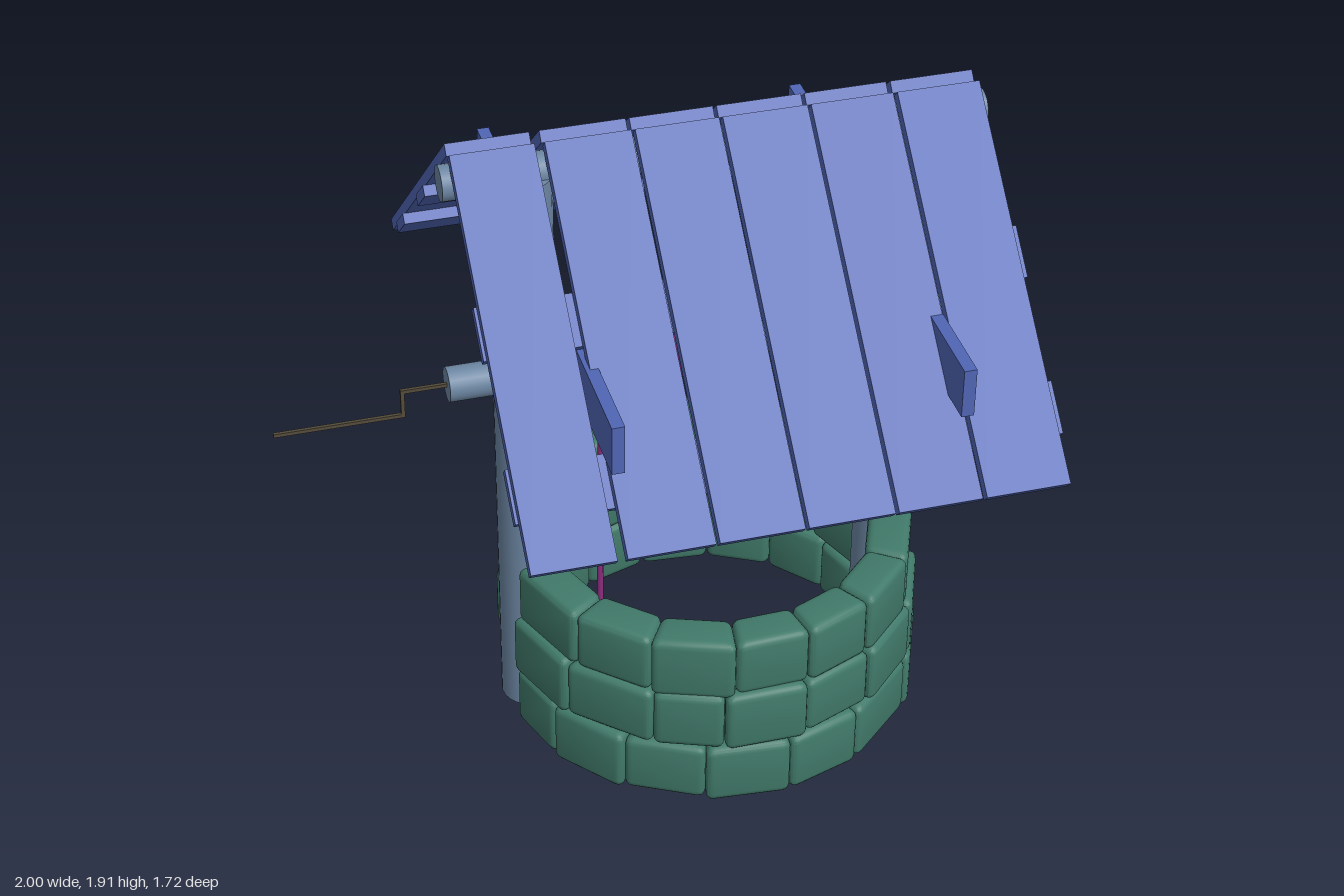
import * as THREE from 'three';
import { toCreasedNormals } from 'three/addons/utils/BufferGeometryUtils.js';
import { RoundedBoxGeometry } from 'three/addons/geometries/RoundedBoxGeometry.js';

const material = (color) => new THREE.MeshStandardMaterial({ color });
const DEG = Math.PI / 180;
const CX = 0.24; // middle of the well shaft and its posts

export function createModel() {
  const root = new THREE.Group();
  const log = material(0x6d87a3), plank = material(0x5066b5), stone = material(0x417a6a);
  const rope = material(0x8f2d80), metal = material(0x544c3c);

  const add = (name, geometry, mat, x, y, z, parent = root) => {
    const mesh = new THREE.Mesh(geometry, mat);
    mesh.name = name;
    mesh.position.set(x, y, z);
    parent.add(mesh);
    return mesh;
  };
  const box = (name, w, h, d, x, y, z, parent) =>
    add(name, new THREE.BoxGeometry(w, h, d), plank, x, y, z, parent);

  // Posts
  for (const s of [-1, 1]) {
    add('post', new THREE.CylinderGeometry(0.0875, 0.0875, 1.78, 24), log, CX + s * 0.537, 0.92, 0);
    box('crossBeam', 0.035, 0.145, 1.5, CX + 0.005 + s * 0.47 - 0.005, 1.428, 0);
  }

  // Ridge log and winding axle
  for (const [name, y] of [['ridgeLog', 1.815], ['axle', 1.167]]) {
    add(name, new THREE.CylinderGeometry(0.05, 0.05, 1.51, 24), log, CX, y, 0).rotation.z = Math.PI / 2;
  }

  // Stone wall: three courses, each half ring cut at these angles from the front
  const wall = new THREE.Group();
  wall.name = 'stoneWall';
  wall.position.x = CX;
  root.add(wall);
  const courses = [
    { y: 0.1, outer: 0.605, cuts: [-81, -62, -39, -16.5, 7, 29, 55, 81] },
    { y: 0.292, outer: 0.605, cuts: [-81, -57, -31, -11.5, 11.5, 33, 56, 81] },
    { y: 0.47, outer: 0.59, cuts: [-81, -55, -32, -8.6, 12.5, 33, 55, 81] },
  ];
  const depth = 0.125;
  courses.forEach(({ y, outer, cuts }, row) => {
    const r = outer - depth / 2;
    for (const half of [0, 180]) {
      for (let i = 0; i < cuts.length - 1; i++) {
        const span = (cuts[i + 1] - cuts[i]) * DEG;
        const angle = ((cuts[i] + cuts[i + 1]) / 2 + half) * DEG;
        const wobble = Math.sin(i * 2.3 + row * 1.7 + half);
        const geo = new RoundedBoxGeometry(2 * r * Math.tan(span / 2), 0.19 + 0.006 * wobble, depth, 2, 0.024);
        // Taper each block so its sides point at the shaft's middle
        const p = geo.attributes.position;
        for (let v = 0; v < p.count; v++) p.setX(v, p.getX(v) * (1 + p.getZ(v) / r));
        const rr = r + 0.005 * wobble;
        const mesh = add('stone', toCreasedNormals(geo, 0.45), stone,
          rr * Math.sin(angle), y, rr * Math.cos(angle), wall);
        mesh.rotation.y = angle;
      }
    }
  });

  // Roof: six planks and two battens on each slope
  const planks = [[-0.49, -0.262], [-0.235, 0], [0.01, 0.24], [0.25, 0.485], [0.495, 0.725], [0.737, 0.97]];
  for (const s of [1, -1]) {
    const slope = new THREE.Group();
    slope.name = s > 0 ? 'frontRoof' : 'backRoof';
    slope.position.set(0, 1.527, s * 0.434);
    slope.rotation.x = s * 0.7345;
    root.add(slope);
    for (const [a, b] of planks) box('roofPlank', b - a, 0.034, 1.12, (a + b) / 2, 0, 0, slope);
    for (const u of [-0.085, 0.347]) box('roofBatten', 1.49, 0.032, 0.145, 0.247, -0.032, s * u, slope);
  }

  // Rope wound on the axle
  const turns = 11, steps = turns * 14, coil = [];
  for (let i = 0; i <= steps; i++) {
    const t = i / steps, a = t * turns * 2 * Math.PI;
    coil.push(new THREE.Vector3(-0.062 + 0.632 * t, 1.16 + 0.064 * Math.sin(a), -0.064 * Math.cos(a)));
  }
  const tube = (points, segments, r, sides) =>
    new THREE.TubeGeometry(new THREE.CatmullRomCurve3(points), segments, r, sides);
  add('ropeCoil', tube(coil, steps * 2, 0.012, 8), rope, 0, 0, 0);

  // Rope hanging into the shaft
  const hang = [[1.165, -0.064], [0.9, -0.072], [0.5, -0.08], [0.07, -0.09]]
    .map(([y, z], i) => new THREE.Vector3(-0.064 + (i % 2) * 0.004, y, z));
  add('hangingRope', tube(hang, 24, 0.01, 8), rope, 0, 0, 0);
  add('ropeEnd', new THREE.SphereGeometry(0.011, 10, 8), rope, -0.06, 0.07, -0.09);

  // Crank handle: three straight rods
  const crank = new THREE.Group();
  crank.name = 'crank';
  root.add(crank);
  const rod = (w, h, x, y) => add('crankRod', new THREE.BoxGeometry(w, h, 0.01), metal, x, y, 0, crank);
  rod(0.15, 0.011, -0.57, 1.167);
  rod(0.011, 0.09, -0.64, 1.1275);
  rod(0.36, 0.011, -0.82, 1.088);

  return root;
}
